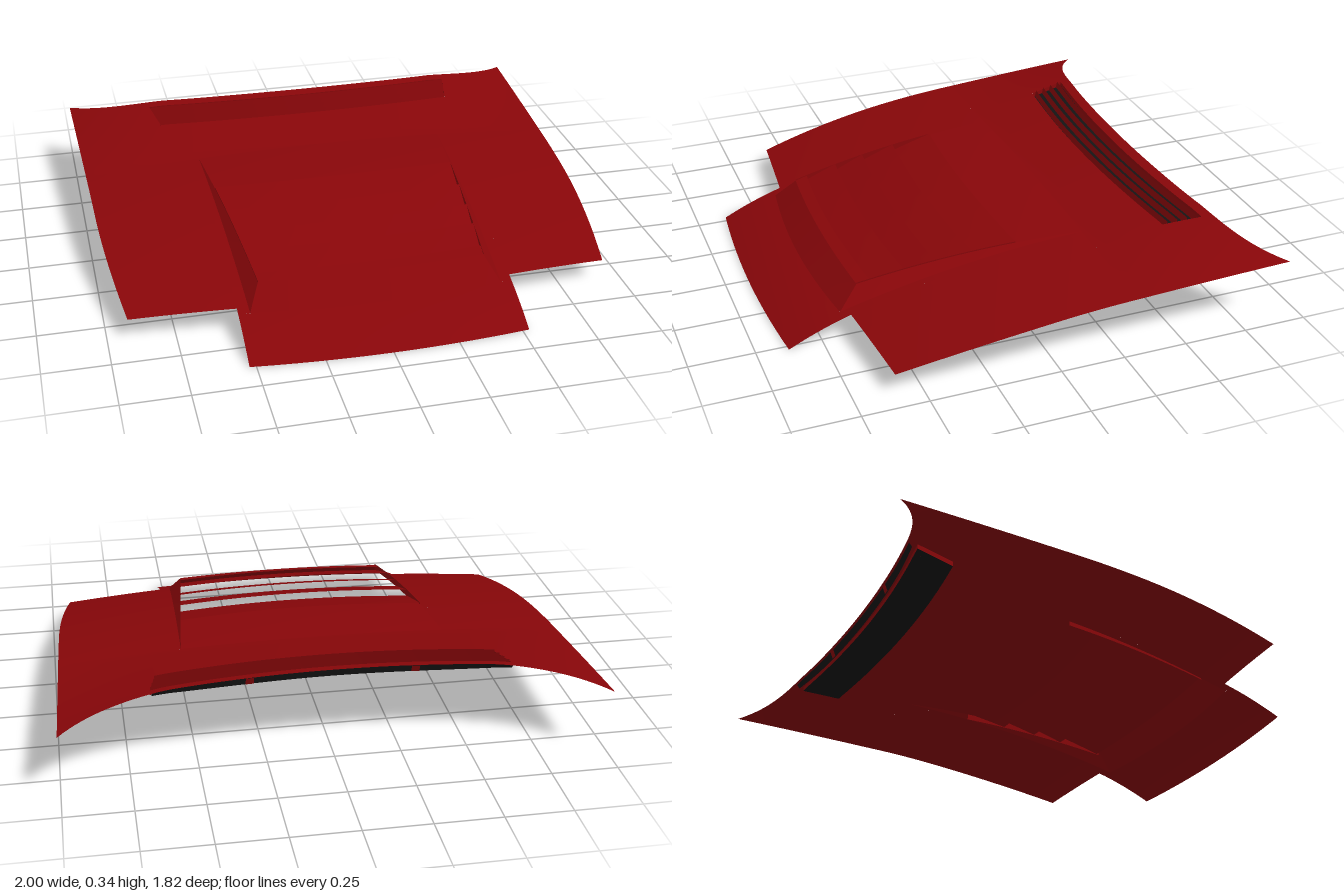
import * as THREE from 'three';

const paint = new THREE.MeshStandardMaterial({ color: 0x880609, side: THREE.DoubleSide });
const black = new THREE.MeshStandardMaterial({ color: 0x151515, side: THREE.DoubleSide });

const { lerp, clamp } = THREE.MathUtils;

// Plan outlines of the panel
const FRONT = -0.29; // where the scoop begins
const SEAM = 0.525; // half width of the nose
const rearEdge = x => -0.712 - 0.1 * x ** 2 - 0.1 * x ** 8;
const sideEdge = z => (z < 0 ? 0.975 - 0.025 * z : 0.975 - 0.025 * z - 0.107 * z * z);
const wingFront = x => lerp(0.64, 0.6, (x - SEAM) / 0.4);
const ventRear = x => -0.67 - 0.05 * (x / 0.665) ** 2;
const ventFront = x => -0.525 - 0.045 * (x / 0.635) ** 2;
const ventSide = z => lerp(0.665, 0.635, clamp((z + 0.72) / 0.15, 0, 1));
const scoopFoot = z => 0.515 - 0.035 * (z - FRONT);
const scoopTop = z => 0.515 - 0.09 * (z - FRONT);
const bow = a => -0.025 * a * a;

// Height of the crowned panel with its dropped nose and kicked-up rear
function panelY(x, z) {
  const nose = Math.max(z - 0.61, 0), tail = Math.min(z + 0.3, 0);
  const fade = 1 - 0.95 * clamp((Math.abs(x) - 0.6) / 0.4, 0, 1) ** 1.3;
  const kick = 0.045 * (-tail / 0.41) * fade;
  return 0.238 - 0.13 * z - 0.117 * z * z - 0.31 * nose ** 2 + 0.11 * tail ** 2
    - 0.044 * x * x + kick;
}
const scoopY = (x, z) => panelY(x, z) + 0.06 * (z - FRONT);

// Smooth sheet from a rule (u, v) -> [x, y, z]
function sheet(parent, name, rule, nu, nv, material = paint) {
  const pos = [], index = [];
  for (let j = 0; j <= nv; j++) {
    for (let i = 0; i <= nu; i++) {
      pos.push(...rule(i / nu, j / nv));
      if (i < nu && j < nv) {
        const a = j * (nu + 1) + i, b = a + nu + 1;
        index.push(a, b, a + 1, a + 1, b, b + 1);
      }
    }
  }
  const g = new THREE.BufferGeometry();
  g.setAttribute('position', new THREE.Float32BufferAttribute(pos, 3));
  g.setIndex(index);
  g.computeVertexNormals();
  const mesh = new THREE.Mesh(g, material);
  mesh.name = name;
  parent.add(mesh);
}

// Sheet lying on the panel across the middle, between two curves in plan
function band(parent, name, half, z0, z1, nv) {
  sheet(parent, name, (u, v) => {
    const x = lerp(-half, half, u), z = lerp(z0(x), z1(x), v);
    return [x, panelY(x, z), z];
  }, 40, nv);
}

function addSkin(root) {
  const skin = new THREE.Group();
  skin.name = 'hoodSkin';
  root.add(skin);
  band(skin, 'rearLip', 0.665, rearEdge, ventRear, 4);
  band(skin, 'centrePanel', 0.635, ventFront, () => FRONT, 10);
  band(skin, 'nose', SEAM, x => 0.705 - 0.035 * Math.min(1, (x / 0.48) ** 2),
    x => 0.908 - 0.027 * (x / SEAM) ** 2, 8);

  for (const [side, s] of [['left', 1], ['right', -1]]) {
    sheet(skin, side + 'RearWing', (u, v) => {
      const xn = lerp(0.665, 1, u), z = lerp(rearEdge(xn), FRONT, v);
      const x = lerp(ventSide(z), sideEdge(z), u);
      return [s * x, panelY(x, z), z];
    }, 16, 24);
    sheet(skin, side + 'FrontWing', (u, v) => {
      const z = lerp(FRONT, wingFront(lerp(SEAM, 0.92, u)), v);
      const x = lerp(SEAM, sideEdge(z), u);
      return [s * x, panelY(x, z), z];
    }, 16, 24);
    sheet(skin, side + 'Shoulder', (u, v) => {
      const z = lerp(FRONT, 0.67, v), x = lerp(scoopFoot(z), SEAM, u);
      return [s * x, panelY(x, z), z];
    }, 2, 24);
  }
}

function addScoop(root) {
  const scoop = new THREE.Group();
  scoop.name = 'scoop';
  root.add(scoop);

  // Strip across the scoop top, raised by lift0 at its rear and lift1 at its front
  const strip = (name, z0, z1, lift0 = 0, lift1 = 0, nv = 4) =>
    sheet(scoop, name, (u, v) => {
      const a = u * 2 - 1, z = lerp(z0(a), z1(a), v), x = a * scoopTop(z);
      return [x, scoopY(x, z) + lerp(lift0, lift1, v), z];
    }, 32, nv);

  strip('scoopRoof', () => FRONT, a => 0.03 + bow(a), 0, 0, 8);
  const starts = [0, 0.173, 0.313, 0.436], ends = [0.168, 0.308, 0.431, 0.605];
  starts.forEach((z0, i) =>
    strip('louvre' + (i + 1), a => z0 + bow(a), a => ends[i] + bow(a), 0.005, -0.022));
  strip('scoopLip', a => 0.565 + bow(a), a => 0.61 + 0.8 * bow(a), 0.002, 0, 2);

  // Sloping front face
  sheet(scoop, 'scoopFront', (u, v) => {
    const a = u * 2 - 1;
    const zt = 0.61 + 0.8 * bow(a), zb = 0.705 - 0.035 * a * a;
    const xt = a * scoopTop(zt), xb = a * scoopFoot(0.67);
    return [lerp(xt, xb, v), lerp(scoopY(xt, zt), panelY(xb, zb), v), lerp(zt, zb, v)];
  }, 32, 2);

  // Tapering side walls, with upright cheeks closing the louvre ends
  for (const [side, s] of [['left', 1], ['right', -1]]) {
    sheet(scoop, side + 'ScoopWall', (u, v) => {
      const zb = lerp(FRONT, 0.67, v), zt = lerp(FRONT, 0.59, v);
      const xb = scoopFoot(zb), xt = scoopTop(zt);
      return [s * lerp(xb, xt, u), lerp(panelY(xb, zb), scoopY(xt, zt), u), lerp(zb, zt, u)];
    }, 2, 24);
    sheet(scoop, side + 'LouvreCheek', (u, v) => {
      const z = lerp(-0.025, 0.59, v), x = scoopTop(z);
      return [s * x, scoopY(x, z) + lerp(0.005, -0.024, u), z];
    }, 1, 16);
  }
}

function addVent(root) {
  const vent = new THREE.Group();
  vent.name = 'rearVent';
  root.add(vent);
  const DEPTH = -0.018;

  // Point in the vent: a runs across it (-1..1), f from its rear to its front
  const ventPoint = (a, f, lift) => {
    const x = a * lerp(0.665, 0.635, f), z = lerp(ventRear(x), ventFront(x), f);
    return [x, panelY(x, z) + lift, z];
  };
  const across = (name, f0, f1, lift0, lift1, material) => sheet(vent, name,
    (u, v) => ventPoint(u * 2 - 1, lerp(f0, f1, v), lerp(lift0, lift1, v)), 40, 2, material);

  across('ventFloor', 0, 1, DEPTH, DEPTH, black);
  across('ventRearRim', 0, 0, 0, DEPTH, paint);
  across('ventFrontRim', 1, 1, 0, DEPTH, paint);
  for (const s of [1, -1]) {
    sheet(vent, 'ventEndRim', (u, v) => ventPoint(s, u, v * DEPTH), 4, 1);
  }

  // Upright blades
  for (let i = 0; i < 4; i++) {
    const f = 0.12 + i * 0.25;
    across('ventBlade' + (i + 1), f, f + 0.04, 0.007, DEPTH, paint);
  }

  // Dark outlet under the rear lip, divided by painted struts
  const outlet = (name, x0, x1, inset, n, material) => sheet(vent, name, (u, v) => {
    const x = lerp(x0, x1, u), z = rearEdge(x) + inset;
    const depth = 0.03 * (1 - 0.5 * (x / 0.66) ** 4);
    return [x, panelY(x, z) - 0.003 - v * depth, z + 0.012 * v];
  }, n, 1, material);
  outlet('outlet', -0.66, 0.66, 0.008, 40, black);
  for (const s of [1, -1]) outlet('outletStrut', s * 0.29, s * 0.32, 0.005, 2, paint);
}

export function createModel() {
  const root = new THREE.Group();
  root.name = 'ventedHood';
  addSkin(root);
  addScoop(root);
  addVent(root);
  return root;
}
